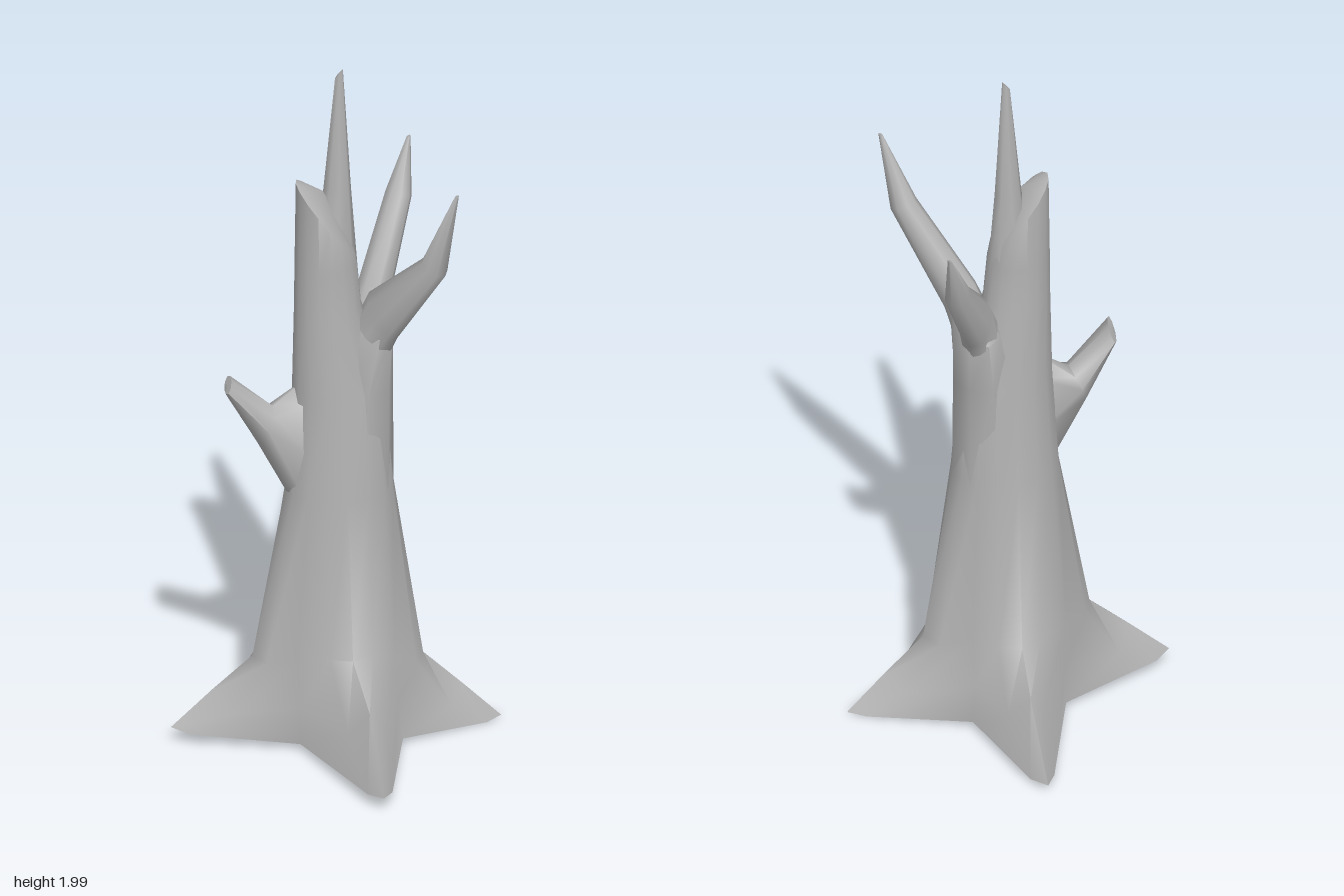
import * as THREE from 'three';
import { toCreasedNormals } from 'three/addons/utils/BufferGeometryUtils.js';

const bark = new THREE.MeshStandardMaterial({ color: 0xb2b2b2 });
bark.name = 'grey bark';

// Ring of n points around a centre, spanned by two half axes
function ring(c, u, v, n = 8) {
  return Array.from({ length: n }, (_, i) => {
    const a = (i / n) * Math.PI * 2, s = Math.sin(a), k = Math.cos(a);
    return c.map((p, j) => p + u[j] * k + v[j] * s);
  });
}

// Skin through rings, closed with a fan at each end
function loft(name, rings, startCentre, endCentre) {
  const n = rings[0].length, pos = rings.flat(2), index = [];
  const mean = r => [0, 1, 2].map(j => r.reduce((t, p) => t + p[j], 0) / n);
  const last = rings.length - 1;
  pos.push(...(startCentre || mean(rings[0])), ...(endCentre || mean(rings[last])));
  const c0 = rings.length * n, c1 = c0 + 1;
  for (let i = 0; i < n; i++) {
    const k = (i + 1) % n;
    for (let r = 0; r < last; r++) {
      const a = r * n + i, b = r * n + k;
      index.push(a, a + n, b, b, a + n, b + n);
    }
    index.push(c0, i, k, c1, last * n + k, last * n + i);
  }
  const geo = new THREE.BufferGeometry();
  geo.setAttribute('position', new THREE.Float32BufferAttribute(pos, 3));
  geo.setIndex(index);
  const mesh = new THREE.Mesh(toCreasedNormals(geo, 1.15), bark);
  mesh.name = name;
  return mesh;
}

// Star-shaped ring: four root ridges (+x, +z, -x, -z) with valleys between
const shift = [0.01, -0.03, 0.01, 0.05];
function rootRing({ r, y, sideR, sideY, half, f, valleys, valleyY }) {
  const pts = [];
  for (let k = 0; k < 4; k++) {
    const a = k * Math.PI / 2, c = Math.cos(a), s = Math.sin(a);
    const at = (d, l, h) => [c * d - s * l, h, s * d + c * l];
    const o = shift[k] * f;
    pts.push(
      at(r[k], o, y[k]),
      at(r[k] * sideR, o + half, y[k] * sideY),
      [valleys[k][0], valleyY, valleys[k][1]],
      at(r[k] * sideR, o - half, y[k] * sideY));
  }
  // the last side point belongs before its own ridge
  const out = [];
  for (let k = 0; k < 4; k++) {
    out.push(pts[k * 4], pts[k * 4 + 1], pts[k * 4 + 2], pts[((k + 1) % 4) * 4 + 3]);
  }
  return out;
}

function trunk() {
  const oval = (y, x0, x1, z0, z1) =>
    ring([(x0 + x1) / 2, y, (z0 + z1) / 2], [(x1 - x0) / 2, 0, 0], [0, 0, (z1 - z0) / 2], 16);
  const rim = oval(1.565, -0.11, 0.05, -0.085, 0.07);
  rim.forEach(p => { p[1] -= (p[0] + 0.03) * 1.28 + p[2] * 0.2; });
  return loft('trunk and roots', [
    rootRing({
      r: [0.455, 0.525, 0.455, 0.525], y: [0.01, 0.05, 0.05, 0.03],
      sideR: 0.9, sideY: 0.8, half: 0.034, f: 1, valleyY: 0.025,
      valleys: [[0.16, 0.13], [-0.12, 0.11], [-0.12, -0.145], [0.15, -0.16]],
    }),
    rootRing({
      r: [0.35, 0.34, 0.34, 0.35], y: [0.115, 0.215, 0.155, 0.2],
      sideR: 0.88, sideY: 0.65, half: 0.052, f: 0.9, valleyY: 0.13,
      valleys: [[0.15, 0.12], [-0.12, 0.105], [-0.12, -0.135], [0.14, -0.145]],
    }),
    rootRing({
      r: [0.24, 0.165, 0.23, 0.21], y: [0.22, 0.29, 0.25, 0.27],
      sideR: 0.88, sideY: 1, half: 0.06, f: 0.5, valleyY: 0.27,
      valleys: [[0.14, 0.11], [-0.125, 0.1], [-0.125, -0.125], [0.14, -0.13]],
    }),
    oval(0.75, -0.14, 0.16, -0.13, 0.12),
    oval(1.05, -0.12, 0.14, -0.115, 0.095),
    oval(1.3, -0.115, 0.07, -0.09, 0.075),
    oval(1.42, -0.113, 0.06, -0.09, 0.07),
    rim,
  ], [0, 0.02, 0], [-0.035, 1.64, -0.01]);
}

export function createModel() {
  const tree = new THREE.Group();
  tree.name = 'dead tree';
  tree.add(trunk());

  // Splintered top
  tree.add(loft('spike', [
    ring([-0.01, 1.3, -0.015], [0.08, 0, 0], [0, 0, 0.06]),
    ring([0.008, 1.64, -0.025], [0.038, 0, 0], [0, 0, 0.034]),
    ring([0.012, 1.985, -0.02], [0.011, 0.013, 0], [0, 0, 0.006]),
  ]));

  // Limb that swells out of the left side and carries the fork
  tree.add(loft('forked limb', [
    ring([0.06, 0.7, -0.005], [0.1, 0, 0], [0, 0, 0.1]),
    ring([0.075, 1.05, -0.01], [0.085, 0, 0], [0, 0, 0.1]),
    ring([0.1, 1.23, -0.02], [0.062, 0, 0], [0, 0, 0.128]),
    ring([0.11, 1.285, -0.015], [0.03, 0, 0], [0, 0, 0.07]),
  ]));

  // Fork: one branch forward, one back
  const fork = [
    ['front branch', 1, 0, [0.23, 1.495, 0.217], [0.287, 1.715, 0.242]],
    ['back branch', -1, -0.03, [0.222, 1.49, -0.25], [0.258, 1.637, -0.295]],
  ];
  for (const [name, s, dz, elbow, tip] of fork) {
    tree.add(loft(name, [
      ring([0.1, 1.22, dz + s * 0.035], [0.05, -0.03, 0], [0, s * -0.02, 0.07]),
      ring([0.12, 1.28, dz + s * 0.055], [0.043, -0.035, 0], [0, s * -0.035, 0.066]),
      ring(elbow, [0.036, -0.012, 0], [0, s * -0.012, 0.037]),
      ring(tip, [0.006, 0.003, 0], [0, 0, 0.006]),
    ]));
  }

  // Short chisel-ended stub on the right side
  tree.add(loft('side stub', [
    ring([-0.08, 0.87, 0], [0.01, 0.22, 0], [0, 0, 0.06]),
    ring([-0.2, 0.96, 0.015], [0.022, 0.052, 0], [0, 0, 0.055]),
    ring([-0.305, 1.095, 0.03], [0.01, 0.012, 0], [-0.01, 0.004, 0.06]),
  ]));
  return tree;
}
